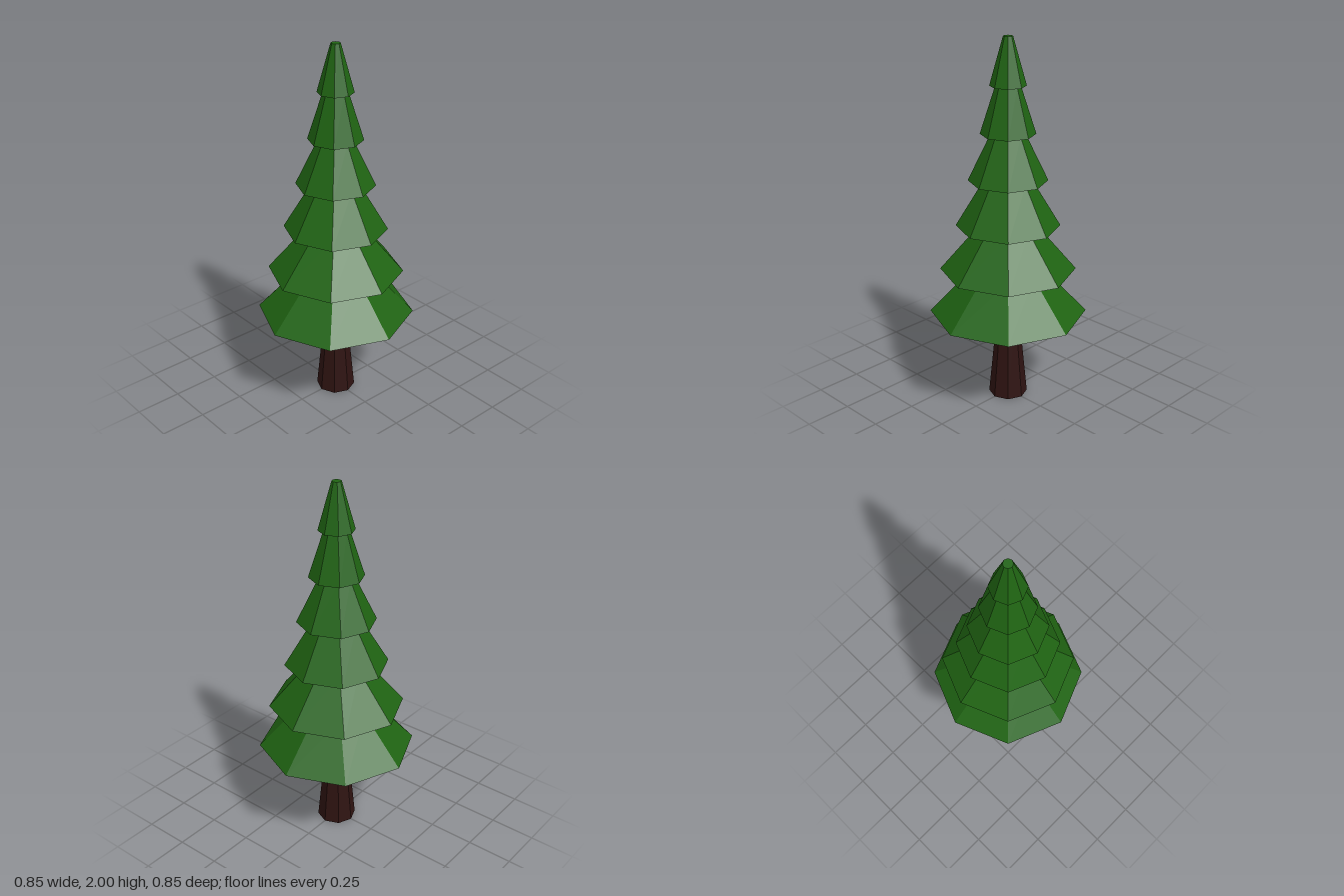
import * as THREE from 'three';

const SIDES = 8;

// Faceted, closed, tapering segment standing on height y
function taper(name, topRadius, bottomRadius, y, height, material) {
  const geometry = new THREE.CylinderGeometry(topRadius, bottomRadius, height, SIDES);
  geometry.translate(0, y + height / 2, 0);
  const mesh = new THREE.Mesh(geometry, material);
  mesh.name = name;
  return mesh;
}

export function createModel() {
  const tree = new THREE.Group();
  tree.name = 'pineTree';

  const bark = new THREE.MeshStandardMaterial({ color: 0x2e1311, flatShading: true });
  const needles = new THREE.MeshStandardMaterial({ color: 0x1f6312, flatShading: true });

  // Trunk
  tree.add(taper('trunk', 0.058, 0.106, 0, 0.5, bark));

  // Stacked branch tiers, lowest first: [bottom radius, top radius]
  const tiers = [
    [0.425, 0.19],
    [0.365, 0.152],
    [0.277, 0.127],
    [0.21, 0.09],
    [0.145, 0.065],
    [0.095, 0.025],
  ];
  const foliage = new THREE.Group();
  foliage.name = 'foliage';
  const tierHeight = 0.25;
  tiers.forEach(([bottom, top], i) => {
    foliage.add(taper(`branchTier${i + 1}`, top, bottom, 0.5 + i * tierHeight, tierHeight, needles));
  });
  tree.add(foliage);

  return tree;
}
